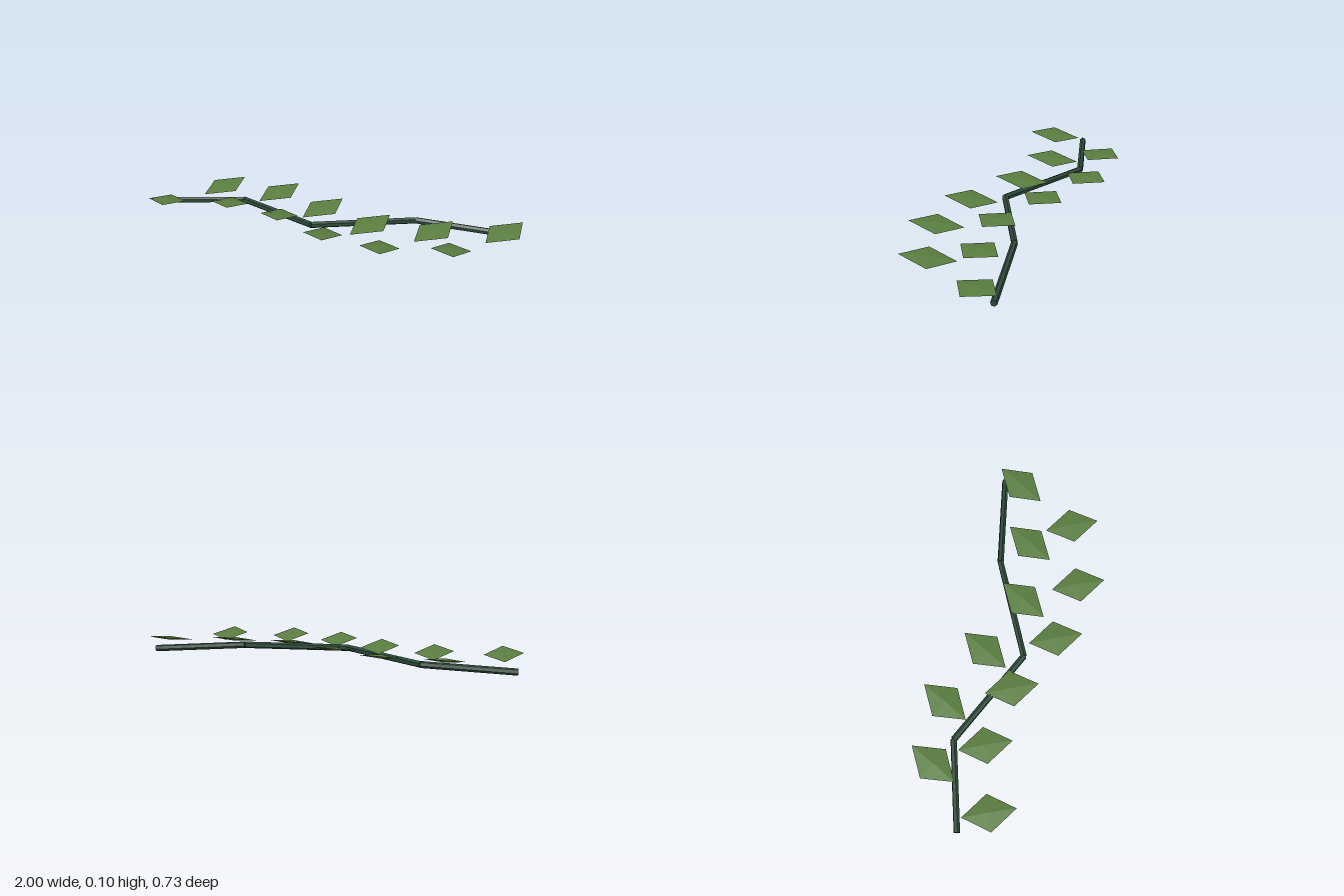
import * as THREE from 'three';

const leafGreen = new THREE.MeshStandardMaterial({ color: 0x5a7d40, flatShading: true });
leafGreen.name = 'leaf green';
const stemGreen = new THREE.MeshStandardMaterial({ color: 0x2d4a3a, flatShading: true });
stemGreen.name = 'stem green';

const STEM_RADIUS = 0.017;

// Straight six-sided stem piece between two joints
function stemSegment(a, b) {
  const dir = b.clone().sub(a);
  const geo = new THREE.CylinderGeometry(STEM_RADIUS, STEM_RADIUS, dir.length(), 6);
  const mesh = new THREE.Mesh(geo, stemGreen);
  mesh.position.copy(a).add(b).multiplyScalar(0.5);
  mesh.quaternion.setFromUnitVectors(new THREE.Vector3(0, 1, 0), dir.normalize());
  mesh.name = 'stemSegment';
  return mesh;
}

export function createModel() {
  const model = new THREE.Group();
  model.name = 'vine';

  // Zigzag stem
  const joints = [
    [-0.993, 0.018, 0], [-0.55, 0.041, -0.15], [-0.03, 0.058, 0.07],
    [0.44, 0.073, -0.19], [0.93, 0.035, -0.305],
  ].map((p) => new THREE.Vector3(...p));
  const stem = new THREE.Group();
  stem.name = 'stem';
  for (let i = 0; i < joints.length - 1; i++) stem.add(stemSegment(joints[i], joints[i + 1]));
  model.add(stem);

  // Thin diamond leaves, alternating sides, outer tips raised
  const leafGeo = new THREE.OctahedronGeometry(1).scale(0.098, 0.01, 0.139);
  const leafZ = [0.128, -0.208, 0.015, -0.245, 0.06, -0.128, 0.203, -0.015, 0.238, -0.07, 0.118, -0.21];
  const leaves = new THREE.Group();
  leaves.name = 'leaves';
  leafZ.forEach((z, i) => {
    const side = i % 2 === 0 ? 1 : -1;
    const leaf = new THREE.Mesh(leafGeo, leafGreen);
    leaf.position.set(-0.868 + i * 0.1614, 0.08, z);
    leaf.rotation.set(-side * 0.157, side * 0.41, 0);
    leaf.name = 'leaf';
    leaves.add(leaf);
  });
  model.add(leaves);

  return model;
}
